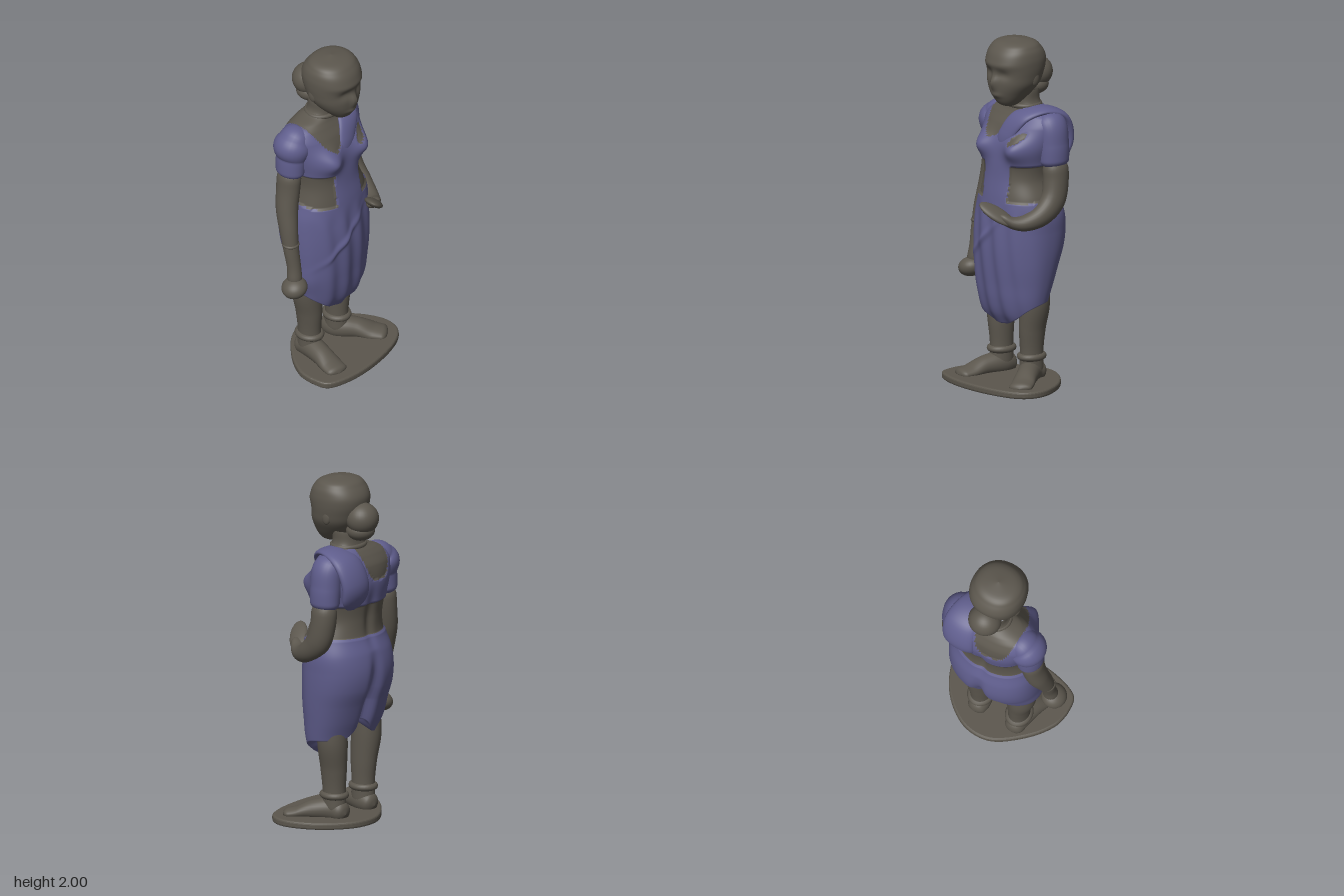
import * as THREE from 'three';

const stone = new THREE.MeshStandardMaterial({ color: 0x5b564d });
stone.name = 'stone';
const cloth = new THREE.MeshStandardMaterial({ color: 0x5f5d8c });
cloth.name = 'cloth';

const V = (x, y, z) => new THREE.Vector3(x, y, z);
const bell = (x, w) => Math.exp(-((x / w) ** 2));

// Closed-ring surface; point(u, angle) gives a position, isCloth(p) picks the colour
function ringSurface(name, rows, cols, point, material, isCloth) {
  const pos = [], kinds = [[], []];
  for (let i = 0; i <= rows; i++) {
    for (let j = 0; j < cols; j++) pos.push(...point(i / rows, (j / cols) * Math.PI * 2).toArray());
  }
  const at = (k) => V(pos[3 * k], pos[3 * k + 1], pos[3 * k + 2]);
  for (let i = 0; i < rows; i++) {
    for (let j = 0; j < cols; j++) {
      const a = i * cols + j, b = i * cols + ((j + 1) % cols), c = b + cols, d = a + cols;
      const kind = isCloth && isCloth(at(a).add(at(c)).multiplyScalar(0.5)) ? 1 : 0;
      kinds[kind].push(a, b, c, a, c, d);
    }
  }
  const geo = new THREE.BufferGeometry();
  geo.setAttribute('position', new THREE.Float32BufferAttribute(pos, 3));
  geo.setIndex(kinds[0].concat(kinds[1]));
  geo.computeVertexNormals();
  if (isCloth) {
    geo.addGroup(0, kinds[0].length, 0);
    geo.addGroup(kinds[0].length, kinds[1].length, 1);
  }
  const mesh = new THREE.Mesh(geo, isCloth ? [stone, cloth] : material);
  mesh.name = name;
  return mesh;
}

// Smooth lookup in a table of [y, centreX, halfWidth, frontZ, backZ]
function section(table, y) {
  let i = 0;
  while (i < table.length - 2 && y > table[i + 1][0]) i++;
  const p = table[i], q = table[i + 1], o = table[i - 1] || p, r = table[i + 2] || q;
  const h = q[0] - p[0], t = THREE.MathUtils.clamp((y - p[0]) / h, 0, 1);
  return p.map((v, k) => {
    const m0 = ((q[k] - o[k]) / (q[0] - o[0])) * h, m1 = ((r[k] - v) / (r[0] - p[0])) * h;
    return (2 * t ** 3 - 3 * t * t + 1) * v + (t ** 3 - 2 * t * t + t) * m0
      + (3 * t * t - 2 * t ** 3) * q[k] + (t ** 3 - t * t) * m1;
  });
}

function sectionPoint(table, y, a, power) {
  const [, cx, rx, zf, zb] = section(table, y);
  const round = (v) => Math.sign(v) * Math.abs(v) ** (2 / power);
  return V(cx + rx * round(Math.sin(a)), y, (zf + zb) / 2 + ((zf - zb) / 2) * round(Math.cos(a)));
}

// Tapered limb through [x, y, z, radius, radius2] stations with rounded ends
function limb(name, stations, material, cap = 0.1) {
  const path = new THREE.CatmullRomCurve3(stations.map((s) => V(s[0], s[1], s[2])));
  const radii = new THREE.CatmullRomCurve3(stations.map((s) => V(s[3], s[4] ?? s[3], 0)));
  return ringSurface(name, 48, 28, (u, a) => {
    const c = path.getPoint(u), r = radii.getPoint(u), t = path.getTangent(u);
    const side = V(1, 0, 0).addScaledVector(t, -t.x).normalize(), up = t.clone().cross(side);
    const e = Math.max(0, 1 - Math.min(u, 1 - u) / cap), f = Math.sqrt(Math.max(0, 1 - e * e));
    return c.addScaledVector(side, r.x * f * Math.cos(a)).addScaledVector(up, r.y * f * Math.sin(a));
  }, material);
}

function ellipsoid(name, center, size, rotation = [0, 0, 0]) {
  const mesh = new THREE.Mesh(new THREE.SphereGeometry(1, 32, 20), stone);
  mesh.position.set(...center);
  mesh.scale.set(...size);
  mesh.rotation.set(...rotation);
  mesh.name = name;
  return mesh;
}

function ring(name, center, radius, tube, squash = 1) {
  const mesh = new THREE.Mesh(new THREE.TorusGeometry(radius, tube, 10, 32), stone);
  mesh.rotation.x = Math.PI / 2;
  mesh.scale.y = squash;
  mesh.position.set(...center);
  mesh.name = name;
  return mesh;
}

const BODY = [
  [0.35, 0.01, 0.2, 0.06, -0.11], [0.42, 0.012, 0.215, 0.1, -0.13], [0.5, 0.012, 0.23, 0.122, -0.15],
  [0.6, 0.006, 0.25, 0.135, -0.19], [0.7, 0.01, 0.258, 0.145, -0.225], [0.8, 0.012, 0.265, 0.15, -0.262],
  [0.9, 0.015, 0.266, 0.148, -0.275], [1.0, 0.02, 0.26, 0.14, -0.262], [1.1, 0.02, 0.232, 0.13, -0.228],
  [1.2, 0.01, 0.205, 0.115, -0.225], [1.3, 0.01, 0.215, 0.105, -0.238], [1.4, 0.015, 0.24, 0.09, -0.25],
  [1.5, 0.015, 0.262, 0.058, -0.24], [1.555, 0.017, 0.235, 0.025, -0.212], [1.585, 0.02, 0.18, 0.008, -0.19],
  [1.615, 0.027, 0.105, 0, -0.165], [1.7, 0.03, 0.09, 0, -0.155],
];
const HEAD = [
  [1.612, 0.035, 0.001, 0.04, 0.038], [1.622, 0.035, 0.04, 0.08, 0], [1.645, 0.035, 0.068, 0.11, -0.04],
  [1.7, 0.03, 0.113, 0.135, -0.11], [1.75, 0.03, 0.142, 0.142, -0.15], [1.8, 0.03, 0.153, 0.142, -0.17],
  [1.85, 0.03, 0.159, 0.146, -0.185], [1.9, 0.03, 0.158, 0.145, -0.185], [1.95, 0.03, 0.142, 0.118, -0.155],
  [1.985, 0.03, 0.1, 0.07, -0.11], [2.0, 0.03, 0.001, -0.019, -0.021],
];

// Skirt, sash and blouse against bare waist, neckline and back
function draped({ x, y, z }) {
  if (y < 1.1 - 0.02 * THREE.MathUtils.smoothstep(z, -0.1, 0.1)) return true;
  if (y > 1.606) return false;
  const front = z > -0.08;
  if (y < 1.285) return front && Math.abs(x - 0.015) < 0.1;
  if (!front) return y < 1.42 + 0.15 * ((x + 0.05) / 0.115) ** 4;
  const dx = x - 0.15, dy = y - 1.445;
  const gap = ((0.77 * dx + 0.64 * dy) / 0.055) ** 2 + ((0.77 * dy - 0.64 * dx) / 0.022) ** 2 < 1;
  return !gap && y < 1.43 + (x < -0.06 ? 13 : 6.6) * (x + 0.06) ** 2;
}

function bodyPoint(u, a) {
  const c = Math.cos(a), backMid = c < 0 ? bell(Math.sin(a), 0.25) : 0;
  const hem = 0.35 + 0.145 * (1 - ((c + 1) / 2) ** 4) + 0.1 * backMid;
  // The first rows tuck in under the hem; rows are closer over the shoulders
  const tuck = Math.max(0, 1 - u / 0.03), v = Math.max(0, (u - 0.03) / 0.97);
  const base = v < 0.65 ? 0.35 + (1.15 * v) / 0.65 : 1.5 + (0.2 * (v - 0.65)) / 0.35;
  const y = base < 0.8 ? 0.8 - ((0.8 - base) * (0.8 - hem)) / 0.45 : base;
  const p = sectionPoint(BODY, y, a, 2.25);
  const { x } = p;
  if (c > 0) {
    p.z += 0.062 * (bell(x + 0.11, 0.07) + bell(x - 0.155, 0.07)) * bell(y - 1.38, 0.07);
    // Pleats and the diagonal fold across the lap
    const skirt = 1 - THREE.MathUtils.smoothstep(y, 0.95, 1.08);
    p.z += skirt * c * 0.006 * Math.sin(x * 55 + y * 5);
    p.z += 0.012 * bell(y - 0.84 - 0.95 * (x + 0.06), 0.025) * bell(x + 0.06, 0.12);
  } else {
    // Cleft at the back of the skirt and the furrow of the spine
    const low = THREE.MathUtils.clamp((1.02 - y) / 0.3, 0, 1);
    p.z += 0.06 * low * bell(x - 0.01, 0.035);
    p.z += 0.018 * bell(x - 0.01, 0.03) * bell(y - 1.2, 0.15);
  }
  const out = draped(p) ? 0.009 - 0.007 * THREE.MathUtils.smoothstep(y, 1.4, 1.5) : 0;
  p.x += out * Math.sin(a);
  p.z += out * c;
  p.x *= 1 - tuck;
  p.z = THREE.MathUtils.lerp(p.z, -0.03, tuck);
  p.y += 0.1 * tuck;
  return p;
}

function headPoint(u, a) {
  const y = 1.806 - 0.194 * Math.cos(Math.PI * u);
  const p = sectionPoint(HEAD, y, a, 2.15);
  if (Math.cos(a) > 0) {
    // Nose, lips, eye sockets and brow
    const dx = p.x - 0.03;
    p.z += 0.026 * bell(dx, 0.018) * bell(y - 1.765, 0.045) + 0.01 * bell(dx, 0.04) * bell(y - 1.69, 0.014);
    p.z -= 0.014 * (bell(dx - 0.055, 0.04) + bell(dx + 0.055, 0.04)) * bell(y - 1.815, 0.026);
    p.z += 0.008 * bell(y - 1.865, 0.02) * Math.cos(a);
  }
  return p;
}

export function createModel() {
  const g = new THREE.Group();
  g.name = 'statue';

  // Base slab
  const outline = [[-0.33, 0.13], [-0.297, 0.245], [-0.1, 0.3], [0.15, 0.285], [0.33, 0.22], [0.387, 0.1],
    [0.34, -0.05], [0.24, -0.17], [0.1, -0.245], [-0.06, -0.23], [-0.22, -0.1], [-0.31, 0.03]];
  const curve = new THREE.SplineCurve([...outline, outline[0]].map(([x, z]) => new THREE.Vector2(x, -z)));
  const slab = new THREE.ExtrudeGeometry(new THREE.Shape(curve.getPoints(80)), {
    depth: 0.016, bevelThickness: 0.012, bevelSize: 0.012, bevelOffset: -0.012, bevelSegments: 3 });
  const base = new THREE.Mesh(slab.rotateX(-Math.PI / 2).translate(0, 0.012, 0), stone);
  base.name = 'base';
  g.add(base);

  // Body and head
  g.add(ringSurface('body', 240, 160, bodyPoint, null, draped));
  g.add(ringSurface('head', 64, 72, headPoint, stone));
  g.add(ellipsoid('hairBun', [0.02, 1.775, -0.18], [0.095, 0.09, 0.092]));
  g.add(ellipsoid('hairBunLower', [0.02, 1.705, -0.165], [0.082, 0.06, 0.082]));
  for (const s of [-1, 1]) g.add(ellipsoid('ear', [0.03 + s * 0.137, 1.785, -0.04], [0.016, 0.045, 0.03]));
  g.add(ring('necklace', [0.027, 1.61, -0.08], 0.098, 0.014, 0.88));

  // Shawl over the left shoulder
  g.add(limb('shawl', [[0.02, 1.36, 0.085, 0.05, 0.018], [0.055, 1.46, 0.072, 0.058, 0.02],
    [0.115, 1.56, 0.018, 0.07, 0.024], [0.155, 1.59, -0.09, 0.085, 0.026], [0.165, 1.545, -0.2, 0.1, 0.036],
    [0.15, 1.42, -0.25, 0.1, 0.042], [0.13, 1.27, -0.215, 0.09, 0.025]], cloth));

  // Right arm hanging with a closed hand
  g.add(limb('rightSleeve', [[-0.13, 1.535, -0.1, 0.05, 0.07], [-0.195, 1.505, -0.1, 0.08, 0.092],
    [-0.222, 1.4, -0.1, 0.08, 0.092], [-0.235, 1.27, -0.1, 0.07, 0.086]], cloth, 0.12));
  g.add(limb('rightArm', [[-0.235, 1.34, -0.1, 0.066, 0.075], [-0.25, 1.2, -0.1, 0.062, 0.072],
    [-0.272, 1.08, -0.09, 0.06, 0.066], [-0.293, 0.95, -0.06, 0.05, 0.055], [-0.3, 0.83, -0.035, 0.044],
    [-0.3, 0.72, -0.015, 0.04], [-0.31, 0.6, 0, 0.048]], stone));
  g.add(ring('bangle', [-0.3, 0.87, -0.04], 0.041, 0.009));
  g.add(ellipsoid('rightHand', [-0.32, 0.602, 0.005], [0.074, 0.056, 0.074], [0, 0, 0.3]));

  // Left arm bent forward with an open hand
  g.add(limb('leftSleeve', [[0.16, 1.535, -0.11, 0.05, 0.07], [0.225, 1.51, -0.11, 0.08, 0.092],
    [0.245, 1.4, -0.11, 0.082, 0.092], [0.255, 1.27, -0.11, 0.072, 0.087]], cloth, 0.12));
  g.add(limb('leftArm', [[0.255, 1.34, -0.11, 0.068, 0.078], [0.265, 1.2, -0.11, 0.068, 0.076],
    [0.272, 1.09, -0.08, 0.065, 0.075], [0.265, 1.015, 0, 0.058, 0.062], [0.23, 0.98, 0.09, 0.05, 0.046],
    [0.19, 0.985, 0.15, 0.044, 0.034], [0.13, 1.025, 0.205, 0.045, 0.024]], stone));
  const hand = ellipsoid('leftHand', [0.128, 1.032, 0.207], [0.115, 0.023, 0.055]);
  const along = V(-0.14, 0.11, 0.12).normalize(), palm = V(0.618, 0.786, 0).normalize();
  hand.quaternion.setFromRotationMatrix(new THREE.Matrix4().makeBasis(along, palm, along.clone().cross(palm)));
  g.add(hand);

  // Legs, anklets and turned-out feet
  for (const [side, x, z, toeX, toeZ] of [['right', -0.125, -0.05, -0.185, 0.225], ['left', 0.12, -0.058, 0.285, 0.18]]) {
    const s = Math.sign(x);
    g.add(limb(side + 'Leg', [[x + s * 0.015, 0.66, z, 0.08], [x + s * 0.02, 0.48, z - 0.005, 0.083, 0.088],
      [x + s * 0.005, 0.32, z, 0.068, 0.08], [x, 0.18, z, 0.06, 0.07], [x, 0.04, z, 0.064, 0.076]], stone));
    g.add(ring(side + 'Anklet', [x, 0.163, z], 0.057, 0.02, 1.15));
    const mix = (t) => [x + (toeX - x) * t, z + (toeZ - z) * t];
    const [mx, mz] = mix(0.4), [nx, nz] = mix(0.72);
    g.add(limb(side + 'Foot', [[x, 0.06, z - 0.09, 0.05, 0.05], [x, 0.075, z, 0.064, 0.068],
      [mx, 0.07, mz, 0.062, 0.056], [nx, 0.05, nz, 0.068, 0.036], [toeX, 0.042, toeZ, 0.064, 0.026]], stone));
  }
  return g;
}
